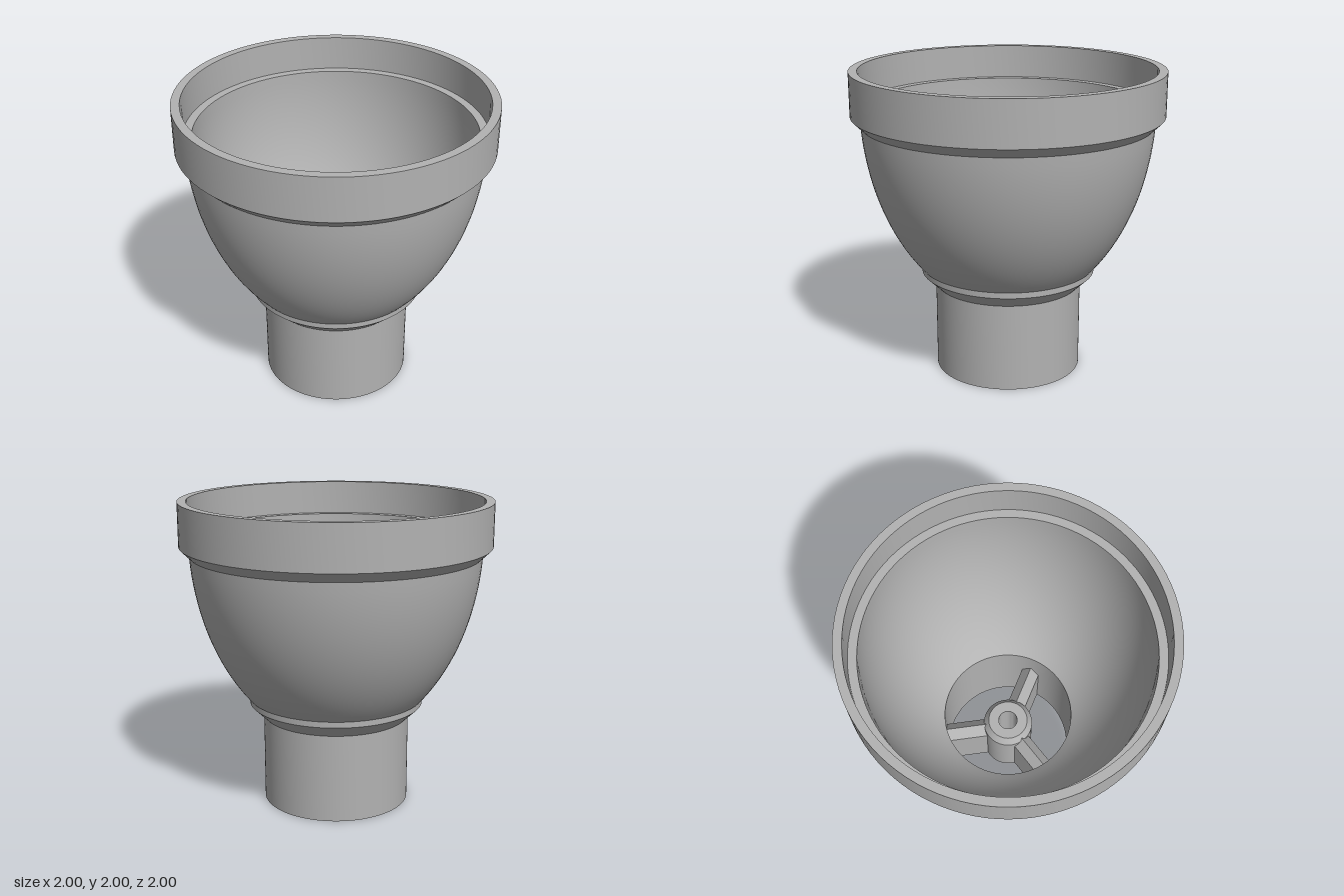
import * as THREE from 'three';
import { toCreasedNormals } from 'three/addons/utils/BufferGeometryUtils.js';

const BOWL_TOP = 1.777; // height of the inner ledge, where the bowl wall is vertical

// Quarter-ellipse bowl wall sampled between two heights
function bowlArc(a, b, yStart, yEnd, steps) {
  const t0 = Math.asin((BOWL_TOP - yStart) / b);
  const t1 = Math.asin((BOWL_TOP - yEnd) / b);
  return Array.from({ length: steps + 1 }, (_, i) => {
    const t = t0 + (t1 - t0) * i / steps;
    return [a * Math.cos(t), BOWL_TOP - b * Math.sin(t)];
  });
}

// Revolve a closed profile, keeping hard edges sharp
function revolve(name, profile, segments, material) {
  const points = profile.map(([x, y]) => new THREE.Vector2(x, y));
  const mesh = new THREE.Mesh(toCreasedNormals(new THREE.LatheGeometry(points, segments), 0.4), material);
  mesh.name = name;
  return mesh;
}

export function createModel() {
  const model = new THREE.Group();
  model.name = 'funnel';
  const grey = new THREE.MeshStandardMaterial({ color: 0xb2b2b2 });
  grey.name = 'grey';

  // Body: neck, collar, bowl and stepped rim outside, then back down the inside
  model.add(revolve('funnelBody', [
    [0.435, 0], [0.48, 0], [0.48, 0.578], [0.57, 0.665], [0.57, 0.703],
    ...bowlArc(0.94, 1.355, 0.705, 1.655, 18),
    [1, 1.717], [1, 2], [0.945, 2], [0.945, BOWL_TOP],
    ...bowlArc(0.89, 1.3, BOWL_TOP, 0.643, 20),
    [0.435, 0],
  ], 96, grey));

  // Hub: bored sleeve with a chamfered top
  model.add(revolve('hub', [
    [0.065, 0], [0.17, 0], [0.17, 0.45], [0.135, 0.5], [0.065, 0.5], [0.065, 0],
  ], 48, grey));

  // Three spokes with ridged tops joining the hub to the neck
  const section = new THREE.Shape([
    [-0.063, 0], [0.063, 0], [0.063, 0.4], [0, 0.47], [-0.063, 0.4],
  ].map(([x, y]) => new THREE.Vector2(x, y)));
  const spokeGeometry = new THREE.ExtrudeGeometry(section, { depth: 0.297, bevelEnabled: false });
  spokeGeometry.translate(0, 0, 0.14).rotateY(Math.PI / 2);
  for (let i = 0; i < 3; i++) {
    const spoke = new THREE.Mesh(spokeGeometry, grey);
    spoke.name = 'spoke' + (i + 1);
    spoke.rotation.y = i * Math.PI * 2 / 3;
    model.add(spoke);
  }
  return model;
}
